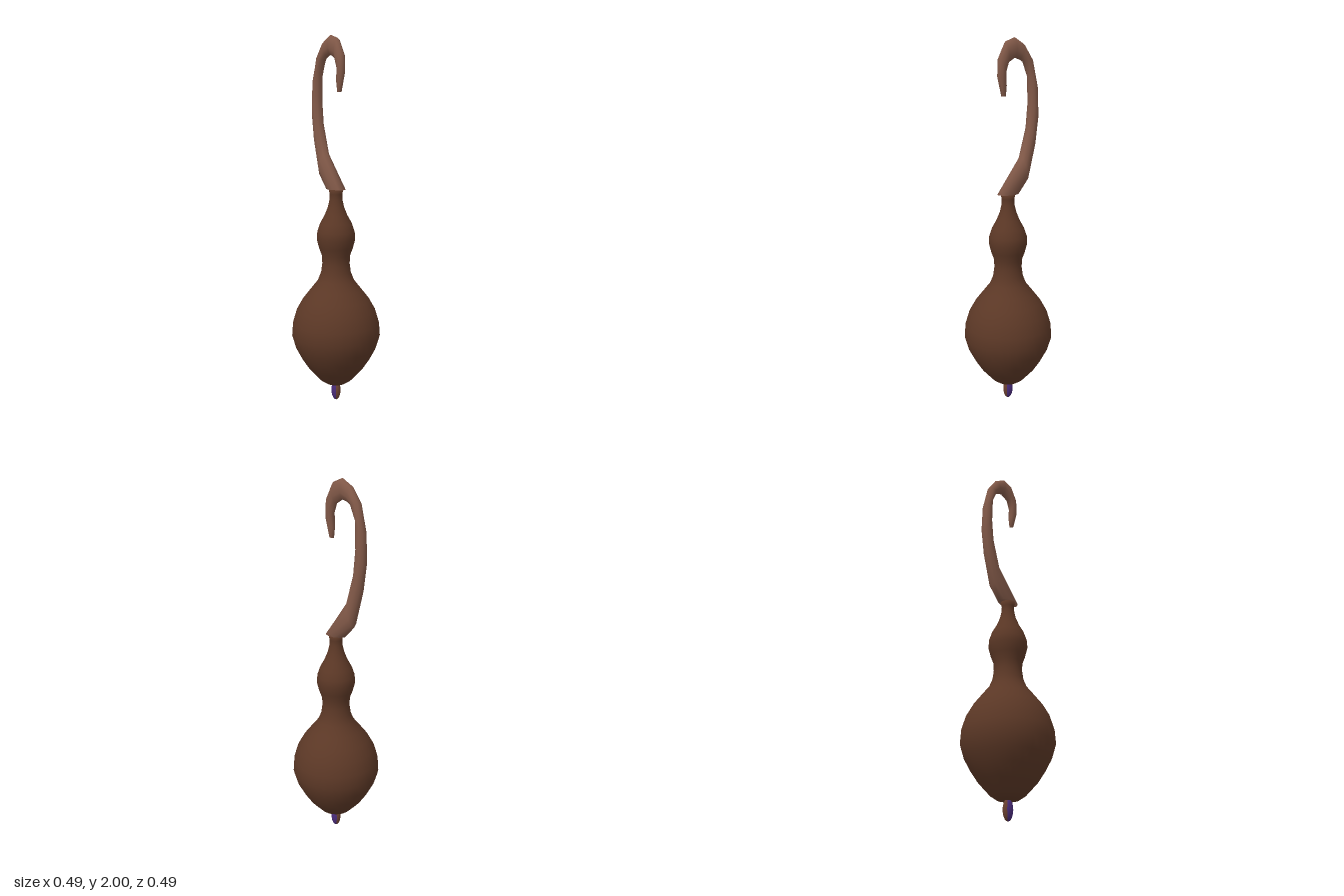
import * as THREE from 'three';

const material = (name, color, side = THREE.FrontSide) =>
  Object.assign(new THREE.MeshStandardMaterial({ color, side }), { name });

// Closed tube lofted through oval rings: [outer z, outer y, inner z, inner y, half width in x]
function loft(sections, sides) {
  const pos = [], idx = [];
  for (const [oz, oy, iz, iy, w] of sections) {
    for (let j = 0; j < sides; j++) {
      const a = (j / sides) * Math.PI * 2, c = Math.cos(a) / 2;
      pos.push(Math.sin(a) * w, (oy + iy) / 2 + c * (oy - iy), (oz + iz) / 2 + c * (oz - iz));
    }
  }
  const last = sections.length - 1;
  for (let i = 0; i < last; i++) {
    for (let j = 0; j < sides; j++) {
      const a = i * sides + j, b = i * sides + (j + 1) % sides;
      idx.push(a, b, a + sides, b, b + sides, a + sides);
    }
  }
  // end caps
  for (let j = 1; j < sides - 1; j++) {
    idx.push(0, j + 1, j);
    idx.push(last * sides, last * sides + j, last * sides + j + 1);
  }
  const geo = new THREE.BufferGeometry();
  geo.setAttribute('position', new THREE.Float32BufferAttribute(pos, 3));
  geo.setIndex(idx);
  geo.computeVertexNormals();
  return geo;
}

export function createModel() {
  const model = new THREE.Group();
  model.name = 'hookedOrnament';
  const darkWood = material('dark brown', 0x5c3826);
  const lightWood = material('light brown', 0x835a49, THREE.DoubleSide);
  const purple = material('purple', 0x4a2c7a);

  const add = (name, geo, mat, parent = model) => {
    const mesh = new THREE.Mesh(geo, mat);
    mesh.name = name;
    parent.add(mesh);
    return mesh;
  };

  // Turned body: large bulb, small bulb and flared neck
  const profile = [
    [0, 0.1], [0.055, 0.102], [0.09, 0.125], [0.15, 0.19], [0.19, 0.25], [0.222, 0.31],
    [0.243, 0.38], [0.238, 0.45], [0.217, 0.52], [0.183, 0.58], [0.14, 0.635], [0.1, 0.685],
    [0.082, 0.73], [0.075, 0.78], [0.077, 0.825], [0.092, 0.865], [0.105, 0.915],
    [0.102, 0.955], [0.087, 1.0], [0.062, 1.045], [0.044, 1.09], [0.035, 1.13],
    [0.034, 1.16], [0.041, 1.19], [0, 1.19],
  ].map(([r, y]) => new THREE.Vector2(r, y));
  add('body', new THREE.LatheGeometry(profile, 32), darkWood);

  // Curved hook, tapering from the slanted foot to the tip
  const hook = [
    [-0.063, 1.185, 0.063, 1.185, 0.043],
    [-0.122, 1.25, -0.079, 1.384, 0.035],
    [-0.169, 1.437, -0.122, 1.542, 0.033],
    [-0.19, 1.585, -0.132, 1.67, 0.031],
    [-0.185, 1.738, -0.127, 1.812, 0.029],
    [-0.153, 1.886, -0.095, 1.876, 0.026],
    [-0.1, 1.966, -0.07, 1.888, 0.025],
    [-0.042, 2.0, -0.042, 1.896, 0.025],
    [0.016, 1.978, 0, 1.871, 0.024],
    [0.058, 1.897, 0.016, 1.818, 0.024],
    [0.064, 1.807, 0.011, 1.75, 0.021],
    [0.04, 1.703, 0.016, 1.7, 0.012],
  ];
  add('hook', loft(hook, 10), lightWood);

  // Bead below the body: brown front and back, purple sides
  const bead = new THREE.Group();
  bead.name = 'bead';
  bead.position.y = 0.056;
  bead.scale.set(0.024, 0.056, 0.028);
  model.add(bead);
  const beadWood = material('bead brown', 0x6a4030);
  for (let i = 0; i < 4; i++) {
    const slice = new THREE.SphereGeometry(1, 4, 10, Math.PI / 4 + i * Math.PI / 2, Math.PI / 2);
    add(i % 2 ? 'beadSide' : 'beadFace', slice, i % 2 ? purple : beadWood, bead);
  }
  return model;
}
